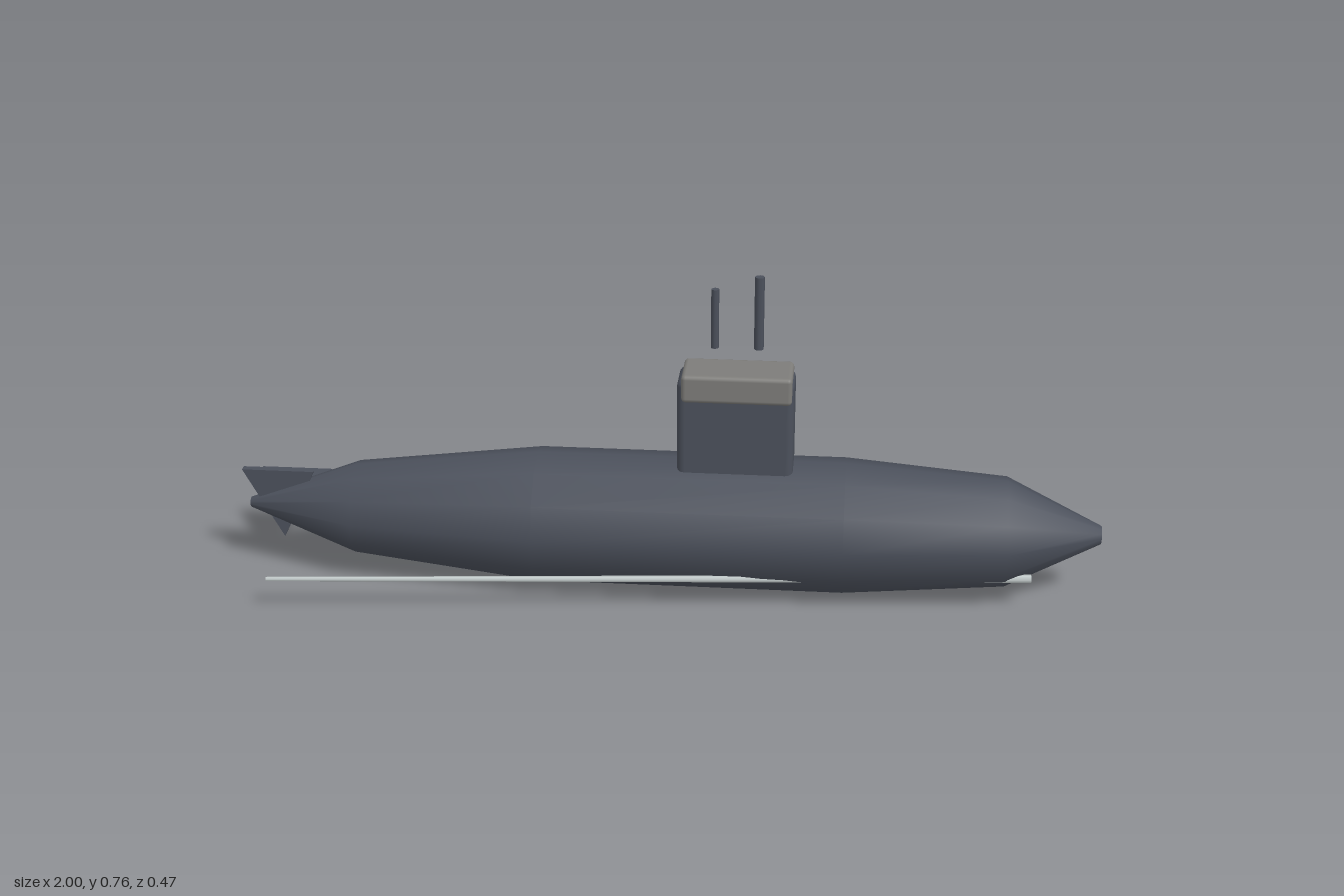
import * as THREE from 'three';
import { RoundedBoxGeometry } from 'three/addons/geometries/RoundedBoxGeometry.js';

const AXIS_Y = 0.158; // height of the hull's centre line

export function createModel() {
  const group = new THREE.Group();
  const material = (name, color, flatShading = false) => {
    const m = new THREE.MeshStandardMaterial({ color });
    m.name = name;
    m.flatShading = flatShading;
    return m;
  };
  const hullGrey = material('hull grey', 0x4b505b);
  const capGrey = material('cap grey', 0x7d7c79);
  const paleGrey = material('pale grey', 0xc2caca);

  const add = (name, geometry, mat, x = 0, y = 0, z = 0) => {
    const mesh = new THREE.Mesh(geometry, mat);
    mesh.name = name;
    mesh.position.set(x, y, z);
    group.add(mesh);
    return mesh;
  };

  // Twelve-sided hull turned around the x axis, tail to nose
  const profile = [
    [0, -0.985], [0.012, -0.985], [0.108, -0.73], [0.157, -0.3],
    [0.157, 0.41], [0.127, 0.78], [0.021, 0.998], [0, 1],
  ].map(([r, x]) => new THREE.Vector2(r, x));
  add('hull', new THREE.LatheGeometry(profile, 12).rotateZ(-Math.PI / 2), hullGrey, 0, AXIS_Y);

  // Tower and its cap
  add('tower', new RoundedBoxGeometry(0.265, 0.29, 0.106, 2, 0.018), hullGrey, 0.1575, 0.382);
  add('towerCap', new RoundedBoxGeometry(0.25, 0.066, 0.117, 2, 0.01), capGrey, 0.16, 0.507);

  // Masts hovering above the tower
  for (const [name, x, height, r] of [['shortMast', 0.107, 0.14, 0.009], ['tallMast', 0.206, 0.172, 0.011]]) {
    add(name, new THREE.CylinderGeometry(r, r, height, 8), hullGrey, x, 0.589 + height / 2);
  }

  // Triangular tail fins: one upright, one lying to the side
  const finGeometry = (wide, tip) => {
    const shape = new THREE.Shape([
      new THREE.Vector2(-1, wide),
      new THREE.Vector2(-0.908, tip),
      new THREE.Vector2(-0.83, wide),
    ]);
    return new THREE.ExtrudeGeometry(shape, { depth: 0.018, bevelEnabled: false }).translate(0, 0, -0.009);
  };
  add('uprightFin', finGeometry(0.245, 0.075), hullGrey);
  add('sideFin', finGeometry(0.174, 0.004).rotateX(-Math.PI / 2), hullGrey, 0, 0.16);

  // Long tapered rods, partly buried in the lower hull and splayed to the tail
  const up = new THREE.Vector3(0, 1, 0);
  for (const side of [1, -1]) {
    const tail = new THREE.Vector3(-0.9, 0.076, side * 0.231);
    const front = new THREE.Vector3(0.84, 0.076, side * 0.074);
    const along = front.clone().sub(tail);
    const geometry = new THREE.CylinderGeometry(0.01, 0.005, along.length(), 6);
    const rod = add(side > 0 ? 'leftRod' : 'rightRod', geometry, paleGrey);
    rod.position.copy(tail).add(front).multiplyScalar(0.5);
    rod.quaternion.setFromUnitVectors(up, along.normalize());
  }

  return group;
}
